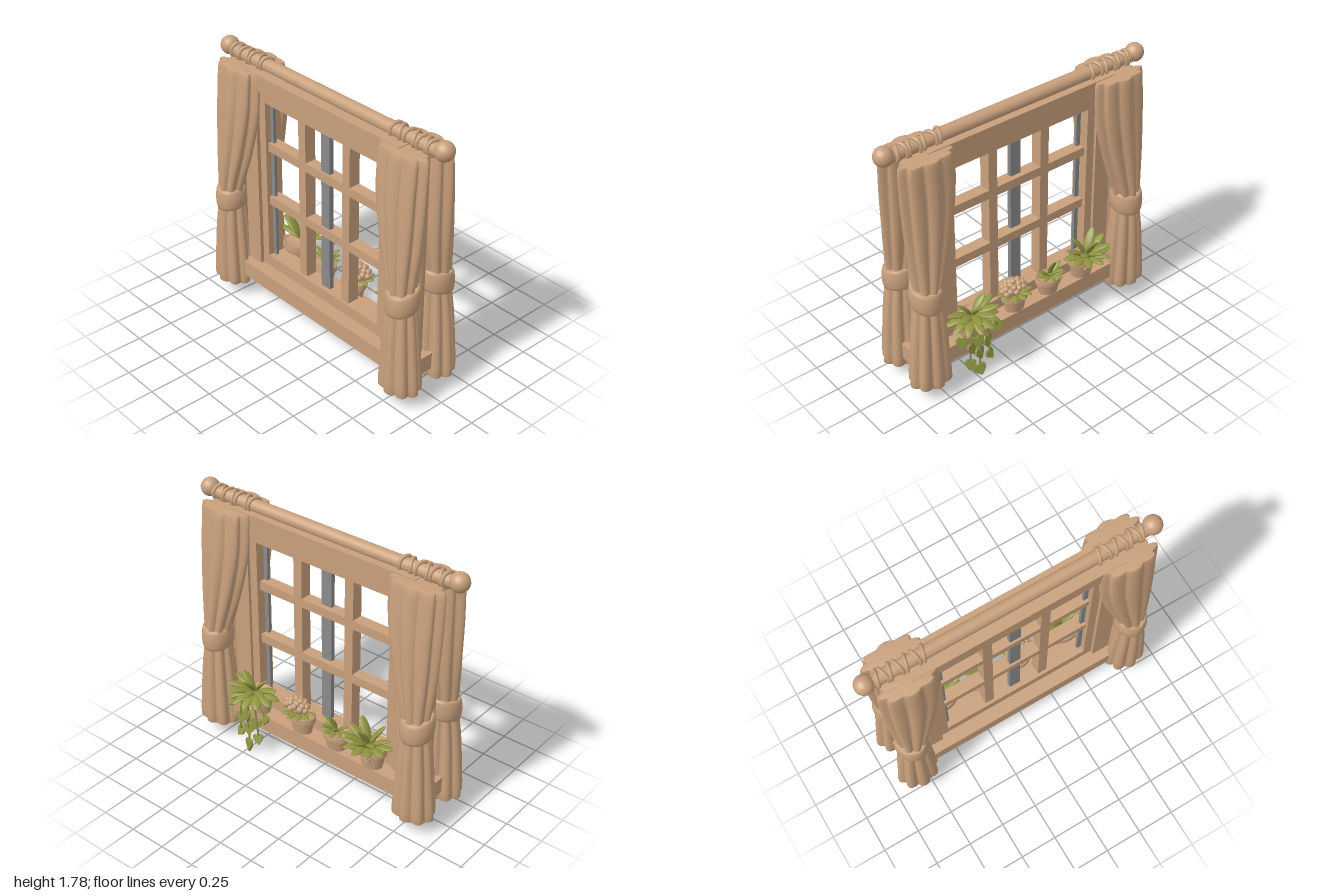
import * as THREE from 'three';

const mat = (name, color) => Object.assign(new THREE.MeshStandardMaterial({ color }), { name });
const tan = mat('warm tan', 0xc8a07c);
const green = mat('leaf green', 0x8f9440);
const grey = mat('glass grey', 0x8a8a8a);
const AXIS = -0.02; // x of the curtain rod

function add(parent, name, geo, material, x = 0, y = 0, z = 0) {
  const m = new THREE.Mesh(geo, material);
  m.name = name;
  m.position.set(x, y, z);
  parent.add(m);
  return m;
}

// Box from its limits on each axis
function block(parent, name, [x0, x1], [y0, y1], [z0, z1], material = tan) {
  return add(parent, name, new THREE.BoxGeometry(x1 - x0, y1 - y0, z1 - z0), material,
    (x0 + x1) / 2, (y0 + y1) / 2, (z0 + z1) / 2);
}

// Closed cloth body lofted through keys [y, z, halfZ, xOffset, halfX], top to bottom
function cloth(keys, sx, sz, fold, tilt, rows) {
  const n = 96, pos = [], idx = [];
  const zc = new THREE.CatmullRomCurve3(keys.map(k => new THREE.Vector3(k[0], k[1], k[2])), false, 'catmullrom', 0.5);
  const xc = new THREE.CatmullRomCurve3(keys.map(k => new THREE.Vector3(k[0], k[3], k[4])), false, 'catmullrom', 0.5);
  const rings = [[0, 0], [0, 0.9], [0.004, 0.97]];
  for (let i = 1; i < rows; i++) rings.push([i / rows, 1]);
  rings.push([0.996, 0.97], [1, 0.9], [1, 0]);
  for (const [t, s] of rings) {
    const a = zc.getPoint(t), b = xc.getPoint(t);
    for (let j = 0; j < n; j++) {
      const th = (j / n) * Math.PI * 2, c = Math.cos(th);
      const r = s * (1 - fold * (1 - Math.abs(Math.cos(4 * th))));
      pos.push(AXIS + sx * b.y + b.z * r * c, a.x - tilt * sx * c * s, sz * a.y + a.z * r * Math.sin(th));
    }
  }
  for (let i = 0; i < rings.length - 1; i++) for (let j = 0; j < n; j++) {
    const a = i * n + j, b = i * n + (j + 1) % n;
    idx.push(a, b, a + n, b, b + n, a + n);
  }
  const g = new THREE.BufferGeometry();
  g.setAttribute('position', new THREE.Float32BufferAttribute(pos, 3));
  g.setIndex(idx);
  g.computeVertexNormals();
  return g;
}

const CURTAIN = [
  [1.675, 0.725, 0.195, 0.095, 0.085], [1.4, 0.73, 0.19, 0.107, 0.1], [1.1, 0.758, 0.15, 0.12, 0.105],
  [0.83, 0.79, 0.095, 0.14, 0.092], [0.74, 0.795, 0.09, 0.14, 0.088], [0.5, 0.8, 0.118, 0.145, 0.105],
  [0.1, 0.805, 0.15, 0.145, 0.123],
];
const TIE = [[0.835, 0.8, 0.097, 0.14, 0.102], [0.765, 0.8, 0.106, 0.14, 0.11], [0.695, 0.8, 0.1, 0.14, 0.106]];

// Unit leaf lying along +x, pointed at the tip and drooping
function leafGeometry() {
  const g = new THREE.SphereGeometry(0.5, 14, 10);
  g.rotateZ(-Math.PI / 2);
  const p = g.attributes.position;
  for (let i = 0; i < p.count; i++) {
    const t = p.getX(i) + 0.5, w = 0.55 + 0.75 * t - 0.35 * t * t;
    p.setXYZ(i, t, p.getY(i) * 0.16 - 0.3 * t * t, p.getZ(i) * w * 0.42);
  }
  g.computeVertexNormals();
  return g;
}

// Heart with its tip down, facing +x, one unit tall
function heartGeometry() {
  const s = new THREE.Shape();
  s.moveTo(0, 0.3);
  s.bezierCurveTo(0.1, 0.55, 0.5, 0.55, 0.48, 0.18);
  s.bezierCurveTo(0.45, -0.12, 0.15, -0.3, 0, -0.5);
  s.bezierCurveTo(-0.15, -0.3, -0.45, -0.12, -0.48, 0.18);
  s.bezierCurveTo(-0.5, 0.55, -0.1, 0.55, 0, 0.3);
  const g = new THREE.ExtrudeGeometry(s, {
    depth: 0.08, bevelEnabled: true, bevelSize: 0.04, bevelThickness: 0.06, bevelSegments: 2, curveSegments: 8,
  });
  return g.rotateY(Math.PI / 2);
}

// Fan of leaves around a point, opening towards +x
function leaves(parent, x, y, z, layers) {
  const geo = leafGeometry();
  for (const [count, spread, pitch, len, fat] of layers) for (let i = 0; i < count; i++) {
    const m = add(parent, 'leaf', geo, green, x, y, z);
    m.rotation.order = 'YZX';
    m.rotation.y = count > 1 ? spread * (2 * i / (count - 1) - 1) : 0;
    m.rotation.z = pitch;
    m.scale.set(len, len, len * fat);
  }
}

function pot(parent, z, r, top) {
  const g = new THREE.Group();
  g.name = 'flowerPot';
  g.position.set(0.09, 0.285, z);
  g.scale.x = 0.78;
  const h = top - 0.285, b = r * 0.72, rim = h * 0.66;
  const profile = [[0, 0], [b, 0], [b, 0.001], [r * 0.88, rim], [r * 0.88, rim], [r, rim], [r, rim + 0.002],
    [r, h - 0.004], [r * 0.96, h], [r * 0.84, h], [r * 0.82, h - 0.02], [0, h - 0.02]];
  add(g, 'potBody', new THREE.LatheGeometry(profile.map(p => new THREE.Vector2(...p)), 32), tan);
  parent.add(g);
  return g;
}

export function createModel() {
  const root = new THREE.Group();
  root.name = 'curtainedWindow';

  // Window frame
  const frame = new THREE.Group();
  frame.name = 'windowFrame';
  root.add(frame);
  block(frame, 'headBoard', [-0.127, 0.065], [1.57, 1.68], [-0.7, 0.7]);
  block(frame, 'sill', [-0.18, 0.143], [0.17, 0.285], [-0.87, 0.87]);
  block(frame, 'topRail', [-0.09, 0.035], [1.485, 1.575], [-0.58, 0.58]);
  block(frame, 'bottomRail', [-0.09, 0.035], [0.28, 0.365], [-0.58, 0.58]);
  for (const s of [-1, 1]) {
    const side = (a, b) => (s > 0 ? [a, b] : [-b, -a]);
    block(frame, 'jamb', [-0.115, 0.055], [0.28, 1.575], side(0.575, 0.7));
    block(frame, 'stile', [-0.09, 0.035], [0.3, 1.55], side(0.518, 0.58));
    block(frame, 'edgeGlass', [-0.05, -0.03], [0.36, 1.49], side(0.488, 0.52), grey);
  }
  for (const z of [0.207, -0.193]) block(frame, 'verticalBar', [-0.07, 0.01], [0.36, 1.49], [z - 0.032, z + 0.032]);
  for (const y of [1.17, 0.78]) block(frame, 'horizontalBar', [-0.07, 0.01], [y - 0.03, y + 0.03], [-0.52, 0.52]);
  block(frame, 'middleGlass', [-0.055, -0.025], [0.36, 1.49], [-0.032, 0.045], grey);

  // Curtain rod with ball ends and rings
  const rod = new THREE.Group();
  rod.name = 'curtainRod';
  root.add(rod);
  add(rod, 'rod', new THREE.CylinderGeometry(0.042, 0.042, 1.86, 24), tan, AXIS, 1.703, 0).rotation.x = Math.PI / 2;
  const ring = new THREE.TorusGeometry(0.047, 0.012, 8, 24);
  for (const s of [-1, 1]) {
    add(rod, 'rodBall', new THREE.SphereGeometry(0.061, 24, 16), tan, AXIS, 1.717, s * 0.939);
    [0.86, 0.82, 0.78, 0.73, 0.68, 0.62, 0.57].forEach((z, i) => {
      add(rod, 'curtainRing', ring, tan, AXIS, 1.705, s * z).rotation.y = (i % 2 ? 0.3 : -0.25);
    });
  }

  // Four tied curtains, one on each face at each end
  for (const sz of [-1, 1]) {
    for (const sx of [-1, 1]) {
      const c = new THREE.Group();
      c.name = 'curtain';
      root.add(c);
      add(c, 'drape', cloth(CURTAIN, sx, sz, 0.2, 0, 36), tan);
      add(c, 'tieBand', cloth(TIE, sx, sz, 0, 0.022, 8), tan).position.y = sx > 0 ? 0 : -0.015;
    }
    add(root, 'innerFold', new THREE.CapsuleGeometry(0.045, 1.5, 6, 16), tan, AXIS, 0.85, sz * 0.775);
  }

  // Pots and plants on the sill
  const plants = new THREE.Group();
  plants.name = 'pottedPlants';
  root.add(plants);
  const heart = heartGeometry();

  const big = pot(plants, -0.455, 0.1, 0.435);
  add(big, 'potHeart', heart, tan, 0.078, 0.063, 0).scale.set(0.12, 0.06, 0.06);
  leaves(plants, 0.13, 0.43, -0.455, [[7, 1.75, 0.55, 0.165, 1], [5, 1.6, 0.95, 0.19, 0.9], [3, 2.0, 1.35, 0.2, 0.9]]);

  pot(plants, -0.17, 0.093, 0.4);
  leaves(plants, 0.1, 0.4, -0.17, [[6, 1.7, 0.55, 0.1, 0.95], [4, 1.6, 1.0, 0.12, 0.9], [1, 0, 1.5, 0.15, 0.9]]);

  pot(plants, 0.11, 0.093, 0.41);
  leaves(plants, 0.1, 0.41, 0.125, [[7, 1.7, 0.5, 0.12, 1]]);
  add(plants, 'flowerCore', new THREE.SphereGeometry(0.06, 16, 10), tan, 0.11, 0.465, 0.14).scale.set(0.8, 0.9, 1.2);
  const bud = new THREE.SphereGeometry(0.021, 10, 8);
  for (let i = 0; i < 26; i++) {
    const up = 1 - i / 24, r = Math.sqrt(Math.max(0, 1 - up * up)), a = i * 2.4;
    add(plants, 'blossom', bud, tan, 0.11 + 0.052 * r * Math.cos(a), 0.465 + 0.056 * up, 0.14 + 0.08 * r * Math.sin(a));
  }

  pot(plants, 0.47, 0.1, 0.435);
  leaves(plants, 0.13, 0.43, 0.48, [[8, 1.8, 0.2, 0.17, 1], [6, 1.65, 0.7, 0.18, 0.95], [3, 1.6, 1.2, 0.16, 1]]);
  // Hanging vines with heart leaves: [z, y, size]
  const hanging = [[0.62, 0.34, 0.07], [0.54, 0.25, 0.08], [0.49, 0.28, 0.08], [0.42, 0.25, 0.08], [0.33, 0.32, 0.07],
    [0.4, 0.13, 0.07], [0.555, 0.125, 0.07], [0.48, 0.18, 0.08], [0.48, 0.047, 0.085]];
  hanging.forEach(([z, y, s], i) => {
    const m = add(plants, 'vineLeaf', heart, green, 0.2, y, z);
    m.scale.setScalar(s);
    m.rotation.set((i % 3 - 1) * 0.3, (i % 2 ? 0.35 : -0.35), 0.25);
  });
  for (const [z, y] of [[0.61, 0.36], [0.555, 0.15], [0.48, 0.08], [0.4, 0.16], [0.34, 0.34]]) {
    const path = new THREE.CatmullRomCurve3([new THREE.Vector3(0.12, 0.43, 0.48), new THREE.Vector3(0.19, 0.43, 0.48 + (z - 0.48) * 0.5),
      new THREE.Vector3(0.205, (0.4 + y) / 2, 0.48 + (z - 0.48) * 0.9), new THREE.Vector3(0.2, y, z)]);
    add(plants, 'vine', new THREE.TubeGeometry(path, 20, 0.007, 6), green);
  }
  return root;
}
